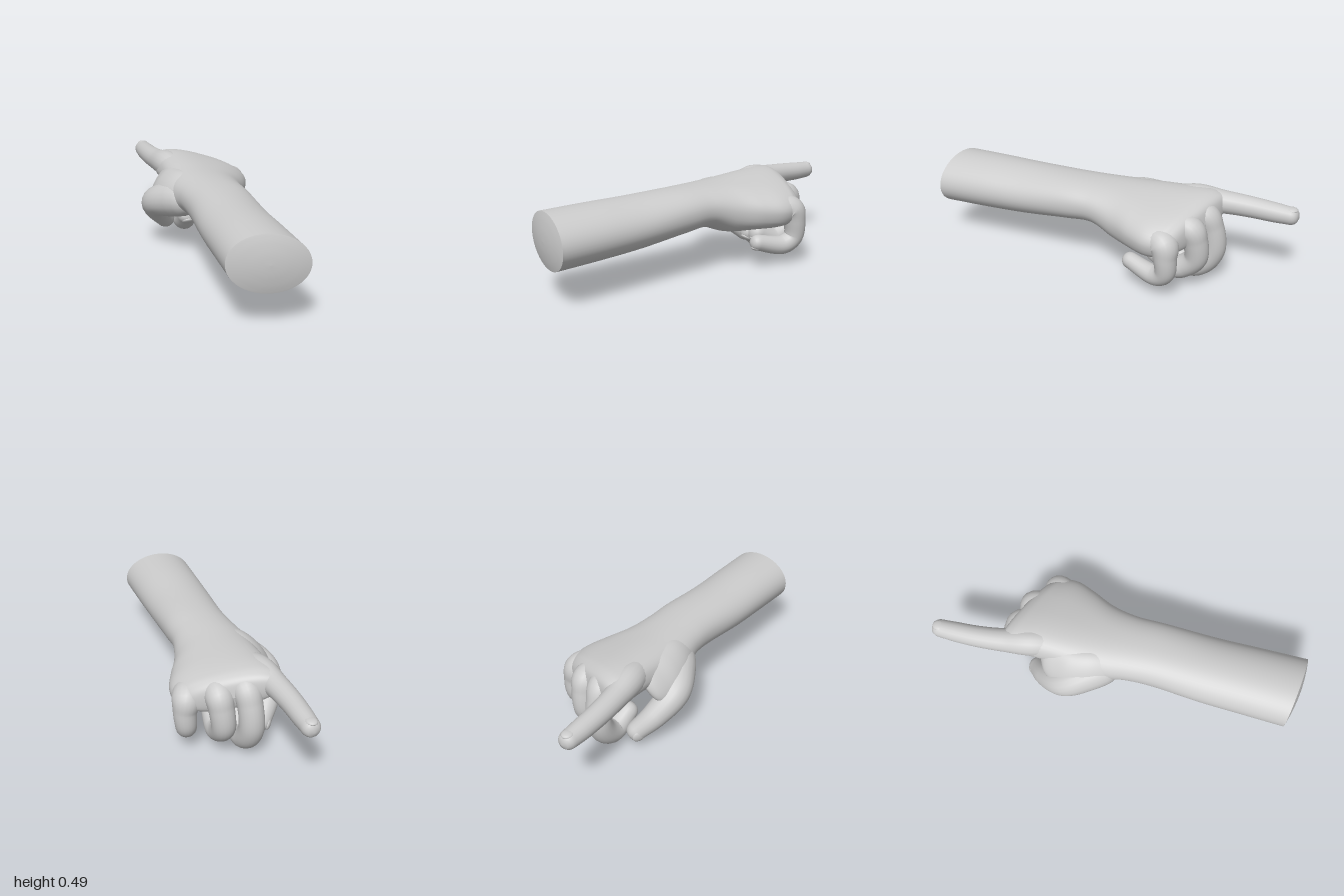
import * as THREE from 'three';
import { mergeVertices } from 'three/addons/utils/BufferGeometryUtils.js';

const material = new THREE.MeshStandardMaterial({ color: 0xcccccc });

function named(name, geometry) {
  const mesh = new THREE.Mesh(geometry, material);
  mesh.name = name;
  return mesh;
}

// Catmull-Rom blend of any row of numbers
function blend(rows, t) {
  const n = rows.length - 1;
  const i = Math.min(Math.floor(t * n), n - 1);
  const f = t * n - i;
  const at = (k) => rows[Math.max(0, Math.min(n, k))];
  return rows[i].map((p1, k) => {
    const p0 = at(i - 1)[k], p2 = at(i + 1)[k], p3 = at(i + 2)[k];
    return p1 + 0.5 * f * (p2 - p0 + f * (2 * p0 - 5 * p1 + 4 * p2 - p3 + f * (3 * (p1 - p2) + p3 - p0)));
  });
}

const power = (v, e) => Math.sign(v) * Math.abs(v) ** e;

// Skin over tilted ovals.
// Row: z, centre x, centre y, half width, half height, tilt, slant of z across x, roundness (1 = oval, less = boxier)
function loft(rows, steps, sides = 48) {
  const positions = [], index = [];
  for (let i = 0; i <= steps; i++) {
    const [z, cx, cy, rx, ry, tilt, slant, round] = blend(rows, i / steps);
    for (let j = 0; j < sides; j++) {
      const a = (j / sides) * Math.PI * 2;
      const u = Math.max(rx, 0) * power(Math.cos(a), round), v = Math.max(ry, 0) * power(Math.sin(a), round);
      const dx = u * Math.cos(tilt) - v * Math.sin(tilt);
      const dy = u * Math.sin(tilt) + v * Math.cos(tilt);
      positions.push(cx + dx, cy + dy, z + slant * dx);
      if (i < steps) {
        const p = i * sides + j, q = i * sides + ((j + 1) % sides);
        index.push(p, p + sides, q, q, p + sides, q + sides);
      }
    }
  }
  const g = new THREE.BufferGeometry();
  g.setAttribute('position', new THREE.Float32BufferAttribute(positions, 3));
  g.setIndex(index);
  g.computeVertexNormals();
  return g;
}

// Tapered round-ended digit. Joint: x, y, z, radius; the nail lies on the dorsal side
function digit(name, joints, dorsal) {
  const group = new THREE.Group();
  group.name = name;
  const pts = joints.map((j) => new THREE.Vector3(...j));
  const radii = joints.map((j) => j[3]);
  const last = pts.length - 1;
  const along = pts[last].clone().sub(pts[last - 1]).normalize();
  const tipRadius = radii[last];
  const tip = pts[last].clone();
  pts.push(tip.clone().addScaledVector(along, tipRadius));
  radii.push(tipRadius);

  const curve = new THREE.CatmullRomCurve3(pts, false, 'centripetal');
  const length = curve.getLength(), steps = 72, sides = 20;
  let g = new THREE.TubeGeometry(curve, steps, 1, sides, false);
  const pos = g.attributes.position, nor = g.attributes.normal;
  const rows = radii.map((r) => [r]);
  for (let i = 0; i <= steps; i++) {
    const u = i / steps;
    const centre = curve.getPointAt(u);
    let r = blend(rows, curve.getUtoTmapping(u))[0];
    const d = Math.min(u, 1 - u) * length;
    if (d < r) r *= Math.sqrt(Math.max(0, 1 - ((r - d) / r) ** 2));
    for (let j = 0; j <= sides; j++) {
      const k = i * (sides + 1) + j;
      pos.setXYZ(k, centre.x + nor.getX(k) * r, centre.y + nor.getY(k) * r, centre.z + nor.getZ(k) * r);
    }
  }
  g.deleteAttribute('uv');
  g.deleteAttribute('normal');
  g = mergeVertices(g, 1e-5);
  g.computeVertexNormals();
  group.add(named(name + 'Flesh', g));

  // Nail: a flattened oval set into the fingertip
  const up = new THREE.Vector3(...dorsal);
  up.addScaledVector(along, -up.dot(along)).normalize();
  const side = new THREE.Vector3().crossVectors(up, along);
  const nail = named(name + 'Nail', new THREE.SphereGeometry(1, 20, 12));
  nail.scale.set(tipRadius * 0.62, tipRadius * 0.28, tipRadius * 0.72);
  nail.quaternion.setFromRotationMatrix(new THREE.Matrix4().makeBasis(side, up, along));
  nail.position.copy(tip).addScaledVector(up, tipRadius * 0.73).addScaledVector(along, tipRadius * 0.05);
  group.add(nail);
  return group;
}

export function createModel() {
  const model = new THREE.Group();
  model.name = 'pointingHand';

  // Forearm, wrist, palm and knuckle row in one skin
  model.add(named('forearmAndPalm', loft([
    [0.96, -0.076, 0.325, 0.195, 0.142, -0.1, 0.18, 1],
    [0.72, -0.063, 0.33, 0.19, 0.14, -0.1, 0.12, 1],
    [0.48, -0.05, 0.336, 0.184, 0.134, -0.08, 0.08, 1],
    [0.22, -0.03, 0.354, 0.176, 0.12, -0.03, 0, 0.92],
    [0.06, -0.025, 0.36, 0.18, 0.114, -0.05, 0, 0.92],
    [-0.08, -0.01, 0.338, 0.21, 0.134, -0.13, 0, 0.9],
    [-0.22, 0.03, 0.344, 0.235, 0.124, -0.22, 0.1, 0.84],
    [-0.34, 0.058, 0.35, 0.252, 0.115, -0.26, 0.2, 0.8],
    [-0.44, 0.062, 0.356, 0.255, 0.107, -0.28, 0.32, 0.8],
    [-0.5, 0.064, 0.362, 0.237, 0.092, -0.28, 0.4, 0.82],
    [-0.542, 0.064, 0.36, 0.19, 0.066, -0.28, 0.42, 0.9],
    [-0.56, 0.064, 0.36, 0, 0, -0.28, 0.42, 1],
  ], 110)));

  // Slightly domed cut end of the forearm
  const dome = [0, 0.35, 0.7, 0.92, 1].map((r) => [
    0.96 + 0.022 * (1 - r * r), -0.076, 0.325, 0.195 * r, 0.142 * r, -0.1, 0.18, 1,
  ]);
  model.add(named('forearmEnd', loft(dome, 12)));

  // Ball of the thumb and the web up to the index knuckle
  model.add(named('thumbWeb', loft([
    [0.07, -0.12, 0.36, 0, 0, 0.98, 0, 1],
    [0.03, -0.125, 0.36, 0.07, 0.055, 0.98, 0, 1],
    [-0.1, -0.162, 0.352, 0.12, 0.08, 0.98, 0, 1],
    [-0.22, -0.186, 0.345, 0.128, 0.074, 0.98, 0, 1],
    [-0.31, -0.185, 0.345, 0.122, 0.055, 0.98, 0, 1],
    [-0.37, -0.175, 0.355, 0.09, 0.034, 0.98, 0, 1],
    [-0.4, -0.17, 0.36, 0, 0, 0.98, 0, 1],
  ], 48)));

  // Extended index finger
  model.add(digit('indexFinger', [
    [-0.07, 0.39, -0.26, 0.06],
    [-0.115, 0.414, -0.45, 0.077],
    [-0.137, 0.408, -0.6, 0.063],
    [-0.145, 0.402, -0.74, 0.057],
    [-0.142, 0.396, -0.87, 0.053],
    [-0.138, 0.394, -0.952, 0.048],
  ], [0, 1, 0]));

  // Curled fingers
  model.add(digit('middleFinger', [
    [0, 0.38, -0.34, 0.06],
    [-0.008, 0.38, -0.53, 0.074],
    [-0.014, 0.31, -0.573, 0.066],
    [-0.02, 0.185, -0.587, 0.066],
    [-0.02, 0.1, -0.54, 0.067],
    [-0.02, 0.066, -0.47, 0.065],
    [-0.035, 0.125, -0.37, 0.055],
  ], [0, -1, 0.4]));
  model.add(digit('ringFinger', [
    [0.11, 0.35, -0.32, 0.06],
    [0.122, 0.352, -0.495, 0.073],
    [0.118, 0.29, -0.525, 0.066],
    [0.107, 0.185, -0.53, 0.063],
    [0.1, 0.125, -0.475, 0.063],
    [0.1, 0.105, -0.42, 0.061],
    [0.088, 0.155, -0.305, 0.05],
  ], [0, -1, 0.4]));
  model.add(digit('littleFinger', [
    [0.19, 0.31, -0.22, 0.05],
    [0.25, 0.308, -0.395, 0.077],
    [0.268, 0.24, -0.415, 0.062],
    [0.262, 0.15, -0.412, 0.055],
    [0.24, 0.112, -0.355, 0.054],
    [0.195, 0.143, -0.2, 0.044],
  ], [0, -1, 0.3]));

  // Thumb
  model.add(digit('thumb', [
    [-0.11, 0.33, 0.02, 0.08],
    [-0.18, 0.31, -0.12, 0.098],
    [-0.248, 0.265, -0.25, 0.083],
    [-0.21, 0.175, -0.365, 0.067],
    [-0.145, 0.092, -0.44, 0.054],
  ], [-0.7, -0.2, -0.6]));

  return model;
}
